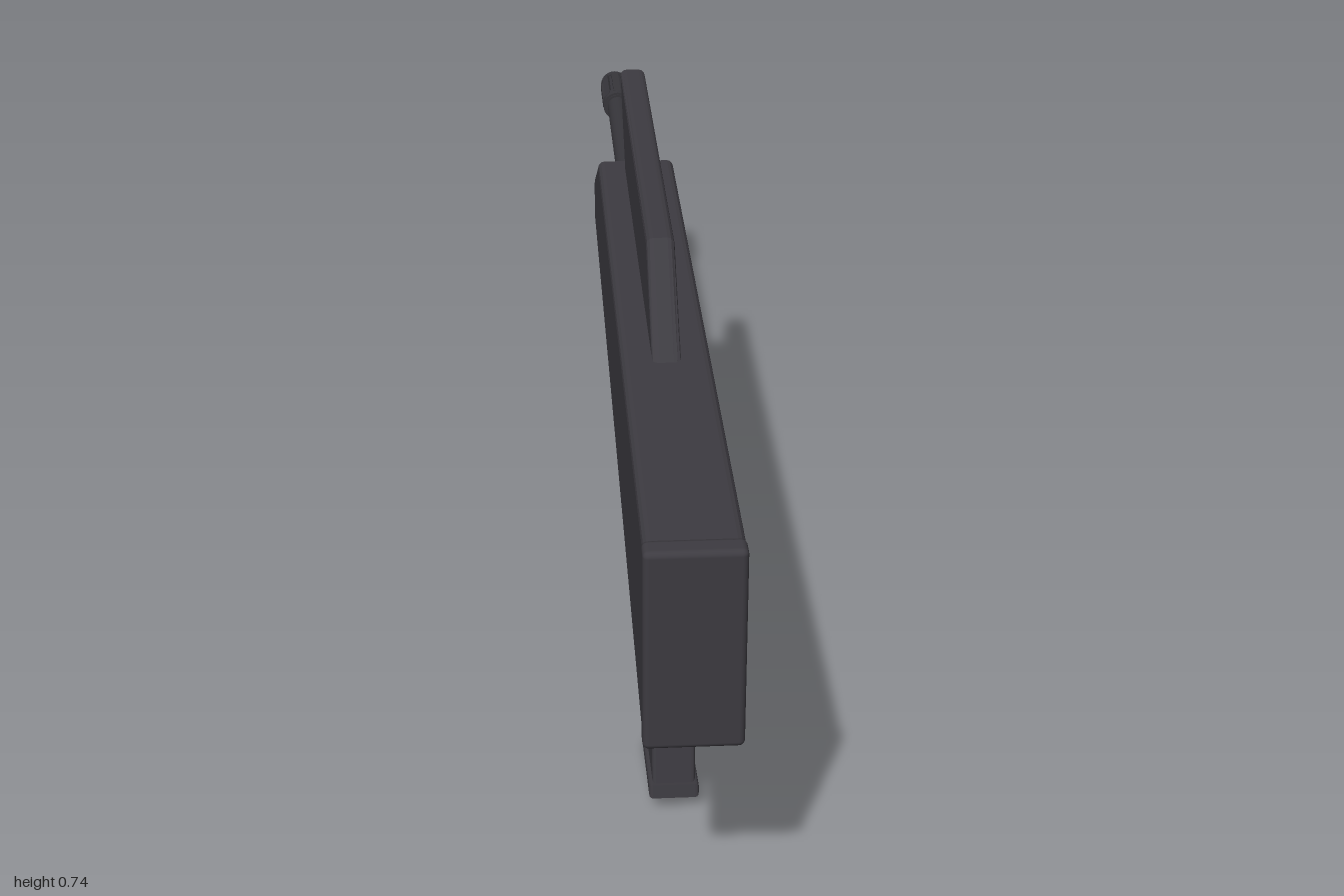
import * as THREE from 'three';
import { RoundedBoxGeometry } from 'three/addons/geometries/RoundedBoxGeometry.js';

const paint = (name, color) => {
  const m = new THREE.MeshStandardMaterial({ color });
  m.name = name;
  return m;
};

export function createModel() {
  const model = new THREE.Group();
  const gunmetal = paint('gunmetal', 0x3d3b41);
  const steel = paint('dark steel', 0x37363b);
  const black = paint('black', 0x1c1c1e);

  const add = (name, geometry, material, parent = model) => {
    const mesh = new THREE.Mesh(geometry, material);
    mesh.name = name;
    parent.add(mesh);
    return mesh;
  };

  // Side profile given as [z, y] corners, widened along x with rounded edges
  const slab = (points, width, bevel) => {
    const shape = new THREE.Shape(points.map(([z, y]) => new THREE.Vector2(z, y)));
    const g = new THREE.ExtrudeGeometry(shape, {
      depth: width - 2 * bevel, bevelEnabled: true, bevelThickness: bevel,
      bevelSize: bevel, bevelOffset: -bevel, bevelSegments: 3,
    });
    g.translate(0, 0, -(width - 2 * bevel) / 2);
    return g.rotateY(-Math.PI / 2);
  };

  const box = (width, y0, y1, z0, z1, radius) =>
    new RoundedBoxGeometry(width, y1 - y0, z1 - z0, 3, radius)
      .translate(0, (y0 + y1) / 2, (z0 + z1) / 2);

  // Receiver, butt pad and carry handle
  add('receiver', slab([[0.97, 0.335], [0.97, 0.612], [-0.26, 0.612], [-0.425, 0.522],
    [-0.436, 0.505], [-0.436, 0.437]], 0.124, 0.01), gunmetal);
  add('buttPad', box(0.126, 0.333, 0.612, 0.966, 1, 0.008), gunmetal);
  add('carryHandle', slab([[0.5, 0.61], [0.36, 0.738], [-0.355, 0.738], [-0.205, 0.61]],
    0.04, 0.01), gunmetal);

  // Plate under the nose
  add('lowerRail', box(0.07, 0.384, 0.41, -0.46, -0.157, 0.006), gunmetal);

  // Barrel and fluted muzzle, both turned about the bore axis
  const bore = new THREE.Group();
  bore.name = 'barrelAssembly';
  bore.position.y = 0.487;
  model.add(bore);
  const rod = (radius, z0, z1) => new THREE.CylinderGeometry(radius, radius, z1 - z0, 24)
    .rotateX(Math.PI / 2).translate(0, 0, (z0 + z1) / 2);
  add('barrel', rod(0.019, -0.9, -0.42), steel, bore);
  add('muzzleCore', rod(0.023, -0.996, -0.87), steel, bore);
  add('muzzleCollar', rod(0.027, -0.895, -0.872), steel, bore);
  add('muzzleTip', rod(0.026, -1, -0.985), steel, bore);
  for (let i = 0; i < 8; i++) {
    const rib = add('muzzleRib', new THREE.BoxGeometry(0.013, 0.008, 0.105)
      .translate(0, 0.023, -0.937), steel, bore);
    rib.rotation.z = (i * Math.PI) / 4;
  }

  // Pistol grip and the bar through it
  add('grip', slab([[0.138, 0.4], [0.118, 0.395], [0.04, 0.372], [0.152, 0.066],
    [0.243, 0.088], [0.2, 0.24]], 0.075, 0.008), gunmetal);
  add('triggerBar', box(0.044, 0.27, 0.343, -0.062, 0.265, 0.01), gunmetal);

  // Magazine, leaning forward at the bottom
  add('magazine', slab([[0.634, 0.341], [0.488, 0.32], [0.53, 0.022], [0.676, 0.043]],
    0.06, 0.005), gunmetal);
  add('magazineBase', slab([[0.682, 0.044], [0.525, 0.021], [0.528, 0.001], [0.685, 0.024]],
    0.07, 0.005), gunmetal);

  // Rows of small round marks on both sides of the magazine
  const across = new THREE.Vector2(0.146, 0.021);
  const down = new THREE.Vector2(0.042, -0.298);
  for (const side of [-1, 1]) {
    for (const u of [0.27, 0.5, 0.73]) {
      for (let row = 0; row < 9; row++) {
        const v = 0.24 + row * 0.066;
        const mark = add('magazineMark', new THREE.CylinderGeometry(0.0055, 0.0055, 0.002, 8)
          .rotateZ(Math.PI / 2), black);
        mark.position.set(side * 0.0302, 0.32 + across.y * u + down.y * v,
          0.488 + across.x * u + down.x * v);
      }
    }
  }

  return model;
}
